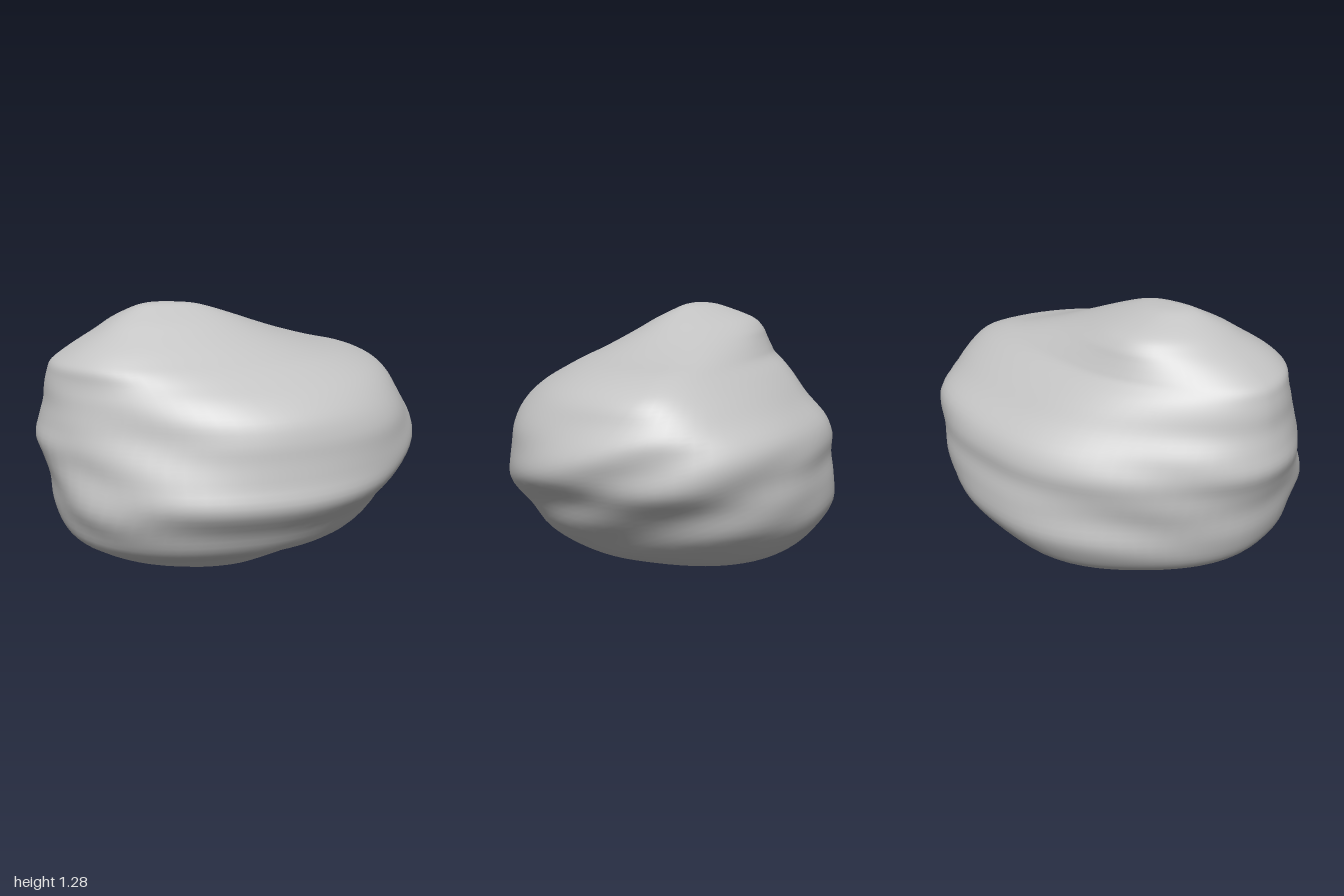
import * as THREE from 'three';

// Horizontal sections of the boulder: y, xMin, xMax, zMin, zMax
const SECTIONS = [
  [0, -0.53, 0.28, -0.5, 0.41],
  [0.03, -0.68, 0.41, -0.57, 0.45],
  [0.1, -0.81, 0.59, -0.69, 0.55],
  [0.18, -0.89, 0.71, -0.77, 0.69],
  [0.3, -0.93, 0.82, -0.84, 0.76],
  [0.43, -0.94, 0.9, -0.84, 0.845],
  [0.54, -0.97, 0.98, -0.82, 0.825],
  [0.64, -1.0, 0.995, -0.82, 0.805],
  [0.73, -0.98, 0.98, -0.78, 0.79],
  [0.82, -0.955, 0.94, -0.68, 0.755],
  [0.9, -0.945, 0.9, -0.6, 0.68],
  [0.96, -0.93, 0.83, -0.53, 0.59],
  [1.01, -0.91, 0.7, -0.46, 0.51],
  [1.05, -0.86, 0.52, -0.43, 0.44],
  [1.1, -0.78, 0.34, -0.4, 0.36],
  [1.15, -0.69, 0.19, -0.37, 0.28],
  [1.2, -0.61, 0.05, -0.31, 0.2],
  [1.25, -0.51, -0.1, -0.17, 0.1],
  [1.272, -0.44, -0.2, -0.09, 0.05],
  [1.28, -0.35, -0.35, 0, 0],
];
const RINGS = 76, SIDES = 72;
const smooth = THREE.MathUtils.smoothstep;
const lerp = THREE.MathUtils.lerp;

function createBoulderGeometry() {
  const curve = (a, b) => new THREE.CatmullRomCurve3(
    SECTIONS.map((s) => new THREE.Vector3(s[0], s[a], s[b])), false, 'catmullrom', 0.5);
  const xCurve = curve(1, 2), zCurve = curve(3, 4);
  const positions = [], indices = [];

  for (let i = 0; i <= RINGS; i++) {
    const xs = xCurve.getPoint(i / RINGS), zs = zCurve.getPoint(i / RINGS);
    const y = Math.max(0, xs.x);
    // The section centre drifts towards the off-centre peak
    const cx = THREE.MathUtils.clamp(
      -0.35 * smooth(y, 0.75, 1.25) - 0.12 * (1 - smooth(y, 0, 0.4)), xs.y, xs.z);
    // The right lobe sits further back than the dome
    const lobe = smooth(y, 0.6, 1.0) * (1 - smooth(y, 1.03, 1.26));
    const cz = THREE.MathUtils.clamp(-0.09 * lobe, zs.y, zs.z);
    const top = smooth(y, 0.75, 1.05);
    const strataFade = smooth(y, 0.1, 0.35) * (1 - smooth(y, 0.6, 0.95));
    // Each corner is fuller or flatter than an ellipse
    const frontRight = lerp(0, 0.04, top);
    const backRight = lerp(0.08, -0.05, top);
    const frontLeft = lerp(0.05, -0.06, smooth(y, 0.35, 0.75)) + 0.12 * smooth(y, 0.9, 1.1);
    const backLeft = lerp(-0.07, -0.03, top);

    for (let j = 0; j < SIDES; j++) {
      const t = (j / SIDES) * Math.PI * 2;
      const c = Math.cos(t), s = Math.sin(t);
      const x = c * (c > 0 ? xs.z - cx : cx - xs.y);
      const z = s * (s > 0 ? zs.z - cz : cz - zs.y);
      const corner = Math.sin(2 * t) ** 2;
      const full = c > 0 ? (s > 0 ? frontRight : backRight) : (s > 0 ? frontLeft : backLeft);
      // Tilted layers ripple the sides
      const layer = y + 0.5 * (z + cz) + (c > 0 ? 0.17 : 0.08) * x;
      const ripple = 0.014 * Math.cos((layer - 0.87) / 0.34 * Math.PI * 2) * strataFade;
      const rippleWeight = c > 0 ? 1 - s ** 4 : corner;
      const k = 1 + corner * full + rippleWeight * ripple;
      positions.push(cx + x * k, y, cz + z * k - 0.09 * lobe * c * Math.abs(c));
    }
  }

  const at = (i, j) => i * SIDES + (j % SIDES);
  for (let i = 0; i < RINGS; i++) {
    for (let j = 0; j < SIDES; j++) {
      const a = at(i, j), b = at(i, j + 1), c = at(i + 1, j), d = at(i + 1, j + 1);
      indices.push(a, c, b);
      if (i < RINGS - 1) indices.push(b, c, d);
    }
  }
  // Flat underside
  const centre = positions.length / 3;
  positions.push(-0.12, 0, -0.05);
  for (let j = 0; j < SIDES; j++) indices.push(centre, at(0, j), at(0, j + 1));

  const geometry = new THREE.BufferGeometry();
  geometry.setAttribute('position', new THREE.Float32BufferAttribute(positions, 3));
  geometry.setIndex(indices);
  geometry.computeVertexNormals();
  // The peak ring is a single point, so it faces straight up
  for (let j = 0; j < SIDES; j++) geometry.attributes.normal.setXYZ(at(RINGS, j), 0, 1, 0);
  return geometry;
}

export function createModel() {
  const group = new THREE.Group();
  group.name = 'rock';
  const stone = new THREE.MeshStandardMaterial({ color: 0xc4c4c4 });
  stone.name = 'stone grey';
  const boulder = new THREE.Mesh(createBoulderGeometry(), stone);
  boulder.name = 'boulder';
  group.add(boulder);
  return group;
}
